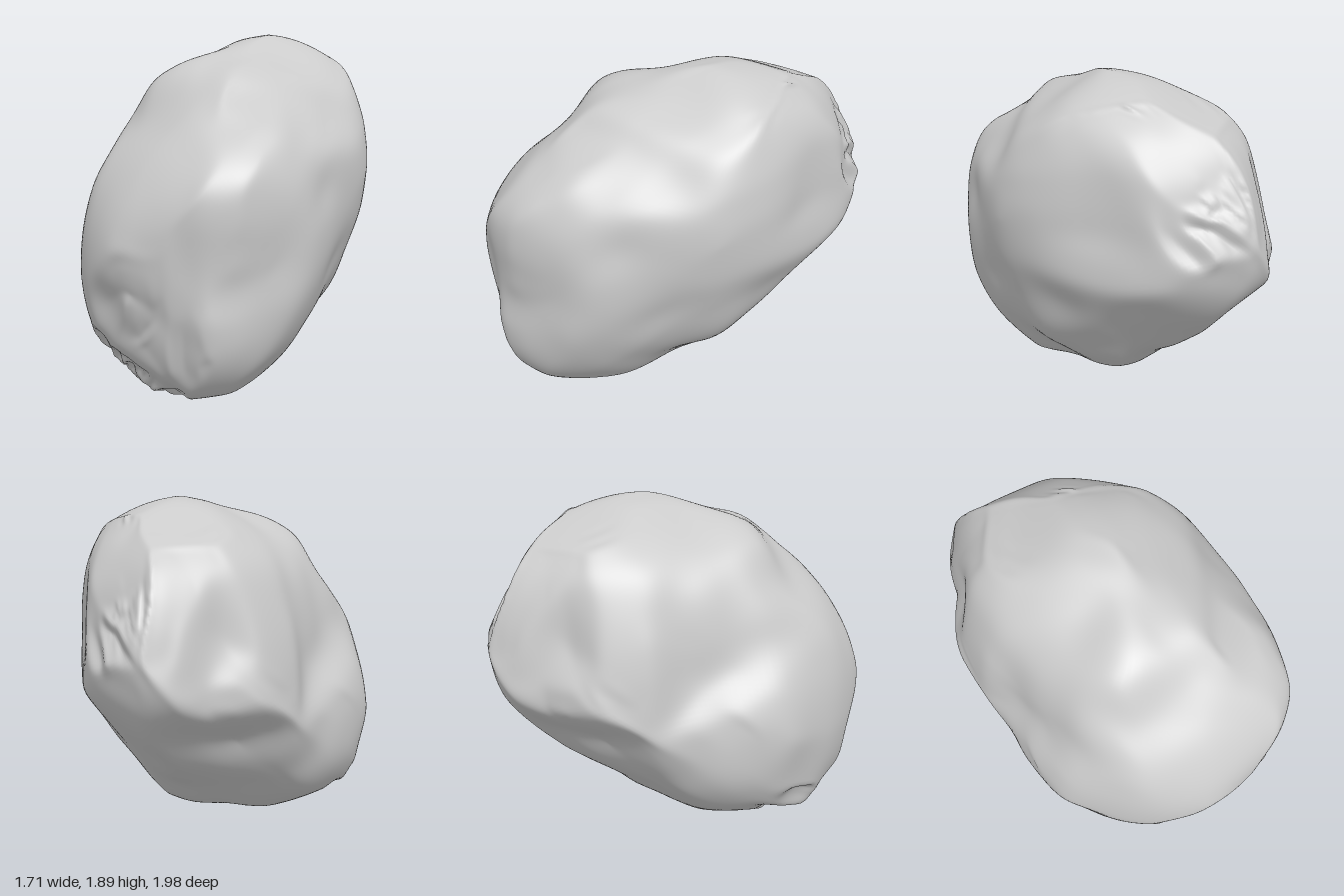
import * as THREE from 'three';
import { mergeVertices } from 'three/addons/utils/BufferGeometryUtils.js';

const V = (x, y, z) => new THREE.Vector3(x, y, z);

// Tilted ellipsoid that carries the overall mass (symmetric shape matrix)
const SHAPE = new THREE.Matrix3().set(
  0.748, 0.288, -0.28,
  0.288, 0.9, -0.18,
  -0.28, -0.18, 1.0);

// Contour ribs: right axis, up axis and radii at even angles, anticlockwise
const h = Math.SQRT1_2, s = h * Math.sin(25 * Math.PI / 180), c = Math.cos(25 * Math.PI / 180);
const RIBS = [
  [V(1, 0, 0), V(0, 1, 0), [.855, .866, .943, 1.03, 1.027, .975, .882, .857, .83, .74, .76, .805,
    .84, .89, .965, 1.045, 1.05, .975, .857, .82, .787, .747, .743, .77]],
  [V(0, 0, -1), V(0, 1, 0), [.985, .985, 1.01, 1.005, .945, .955, .952, .88, .90, .872, .964, 1.028,
    .984, .99, 1.10, 1.137, 1.068, .98, .866, .825, .782, .747, .75, .807]],
  [V(1, 0, 0), V(0, 0, -1), [.817, .858, .97, 1.118, 1.145, .95, .897, .79, .684, .688, .725, .80,
    .828, .895, .968, 1.033, 1.03, 1.028, .945, .88, .793, .777, .80, .805]],
  [V(h, 0, -h), V(-s, c, -s), [1.045, 1.19, 1.09, .92, .797, .834, .757, .87,
    1.0, 1.05, 1.19, 1.037, .825, .816, .757, .828]],
  [V(-h, 0, h), V(s, c, s), [1.006, 1.03, .935, .893, .888, 1.017, 1.073, 1.07,
    1.108, .90, .758, .737, .844, .934, 1.083, 1.02]],
  [V(-h, 0, -h), V(s, c, -s), [.66, .685, .795, .977, 1.048, 1.083, .952, .847,
    .77, .822, .946, 1.108, 1.143, 1.07, .917, .772]],
].map(([right, up, radii]) => ({ right, up, radii, axis: right.clone().cross(up) }));

// Smooth closed interpolation of values at even angles
function around(values, angle) {
  const n = values.length;
  const t = ((angle / (2 * Math.PI)) % 1 + 1) % 1 * n;
  const i = Math.floor(t), f = t - i;
  const [p0, p1, p2, p3] = [-1, 0, 1, 2].map((k) => values[(i + k + n) % n]);
  return p1 + 0.5 * f * (p2 - p0 + f * (2 * p0 - 5 * p1 + 4 * p2 - p3 + f * (3 * (p1 - p2) + p3 - p0)));
}

// Hollows (negative) and knobs (positive): direction, angular size, height
const BUMPS = [
  // dished front bulge, its rim and the grooves around it
  [V(-.35, -.1, .88), .2, -.02], [V(-.05, -.15, .88), .16, -.015],
  [V(0, .15, .85), .16, .02], [V(-.3, -.36, .88), .14, .02], [V(.05, -.3, .85), .14, .02],
  [V(.16, .4, .65), .13, -.025], [V(.27, .18, .7), .14, -.03],
  [V(-.4, -.5, .83), .1, -.015], [V(-.65, -.48, .68), .11, -.02],
  // hollows and bosses on the right flank
  [V(.45, -.25, .62), .14, -.03], [V(.7, -.25, .05), .15, -.025], [V(.7, -.32, -.28), .13, -.02],
  [V(.55, -.45, .2), .2, .03], [V(.48, -.7, .22), .14, -.025], [V(.8, .2, -.5), .25, .01],
  // blunt knob at the far end with a shallow ring below it
  [V(.68, .33, -.72), .22, .025], [V(.43, .05, -.93), .16, -.02], [V(.8, .08, -.42), .14, -.01],
  [V(.4, -.7, -.4), .16, -.025], [V(.25, -.45, -.7), .16, .015],
  // trough and ridge on the back and left flank
  [V(-.2, .5, -.65), .16, -.02], [V(-.6, .14, -.2), .17, .015],
  [V(-.4, -.12, -.4), .18, -.02], [V(-.7, .1, .05), .16, -.01],
].map(([dir, size, height]) => [dir.normalize(), size, height]);

// Replace each vertex by a function of it (point, normal)
function moveVertices(geometry, rule) {
  geometry.computeVertexNormals();
  const { position, normal } = geometry.attributes;
  const p = V(0, 0, 0), n = V(0, 0, 0);
  for (let i = 0; i < position.count; i++) {
    rule(p.fromBufferAttribute(position, i), n.fromBufferAttribute(normal, i));
    position.setXYZ(i, p.x, p.y, p.z);
  }
}

// Swell or shrink the body smoothly until its outlines follow the ribs
function followRibs(geometry) {
  const bins = 48, position = geometry.attributes.position, p = V(0, 0, 0);
  const factors = RIBS.map(({ right, up, radii }) => {
    const reach = new Array(bins).fill(0.01);
    for (let i = 0; i < position.count; i++) {
      p.fromBufferAttribute(position, i);
      const x = p.dot(right), y = p.dot(up), angle = Math.atan2(y, x);
      const bin = (Math.round(angle / (2 * Math.PI) * bins) + bins) % bins;
      reach[bin] = Math.max(reach[bin], Math.hypot(x, y) / around(radii, angle));
    }
    return reach.map((r) => 1 / r);
  });
  moveVertices(geometry, (point, normal) => {
    let sum = 0, weight = 0;
    RIBS.forEach(({ right, up, axis }, k) => {
      const w = 1 / (normal.dot(axis) ** 2 + 0.015);
      sum += w * around(factors[k], Math.atan2(point.dot(up), point.dot(right)));
      weight += w;
    });
    point.multiplyScalar(1 + 0.8 * (sum / weight - 1));
  });
}

// Even out the surface by averaging neighbours
function soften(geometry, passes) {
  const array = geometry.attributes.position.array, index = geometry.index.array;
  for (let pass = 0; pass < passes; pass++) {
    const sum = new Float32Array(array.length), count = new Uint16Array(array.length / 3);
    for (let i = 0; i < index.length; i++) {
      const a = index[i], b = index[i % 3 === 2 ? i - 2 : i + 1];
      count[a]++;
      for (let k = 0; k < 3; k++) sum[3 * a + k] += array[3 * b + k];
    }
    for (let i = 0; i < array.length; i++) {
      array[i] = 0.5 * array[i] + 0.5 * sum[i] / count[Math.floor(i / 3)];
    }
  }
}

export function createModel() {
  const group = new THREE.Group();
  group.name = 'asteroid';

  let geometry = new THREE.IcosahedronGeometry(1, 44);
  geometry.deleteAttribute('normal');
  geometry.deleteAttribute('uv');
  geometry = mergeVertices(geometry, 1e-5);

  // Main mass
  moveVertices(geometry, (p) => {
    const n = p.clone();
    p.applyMatrix3(SHAPE);
    p.divideScalar(Math.sqrt(n.dot(p)));
  });
  for (let i = 0; i < 14; i++) {
    followRibs(geometry);
    soften(geometry, 5);
  }

  // Weathered relief
  moveVertices(geometry, (p) => {
    const dir = p.clone().normalize();
    let relief = 0.005 * Math.sin(7 * dir.x + 5 * dir.y + 1) * Math.sin(8 * dir.z - 4 * dir.y + 2);
    for (const [at, size, height] of BUMPS) {
      relief += height * Math.exp(-dir.distanceToSquared(at) / (size * size));
    }
    p.addScaledVector(dir, relief);
  });
  for (let i = 0; i < 4; i++) {
    followRibs(geometry);
    soften(geometry, 2);
  }

  geometry.translate(0, 0.95, 0);
  geometry.computeVertexNormals();

  const rock = new THREE.Mesh(geometry, new THREE.MeshStandardMaterial({ color: 0xcccccc }));
  rock.name = 'rockBody';
  group.add(rock);
  return group;
}
